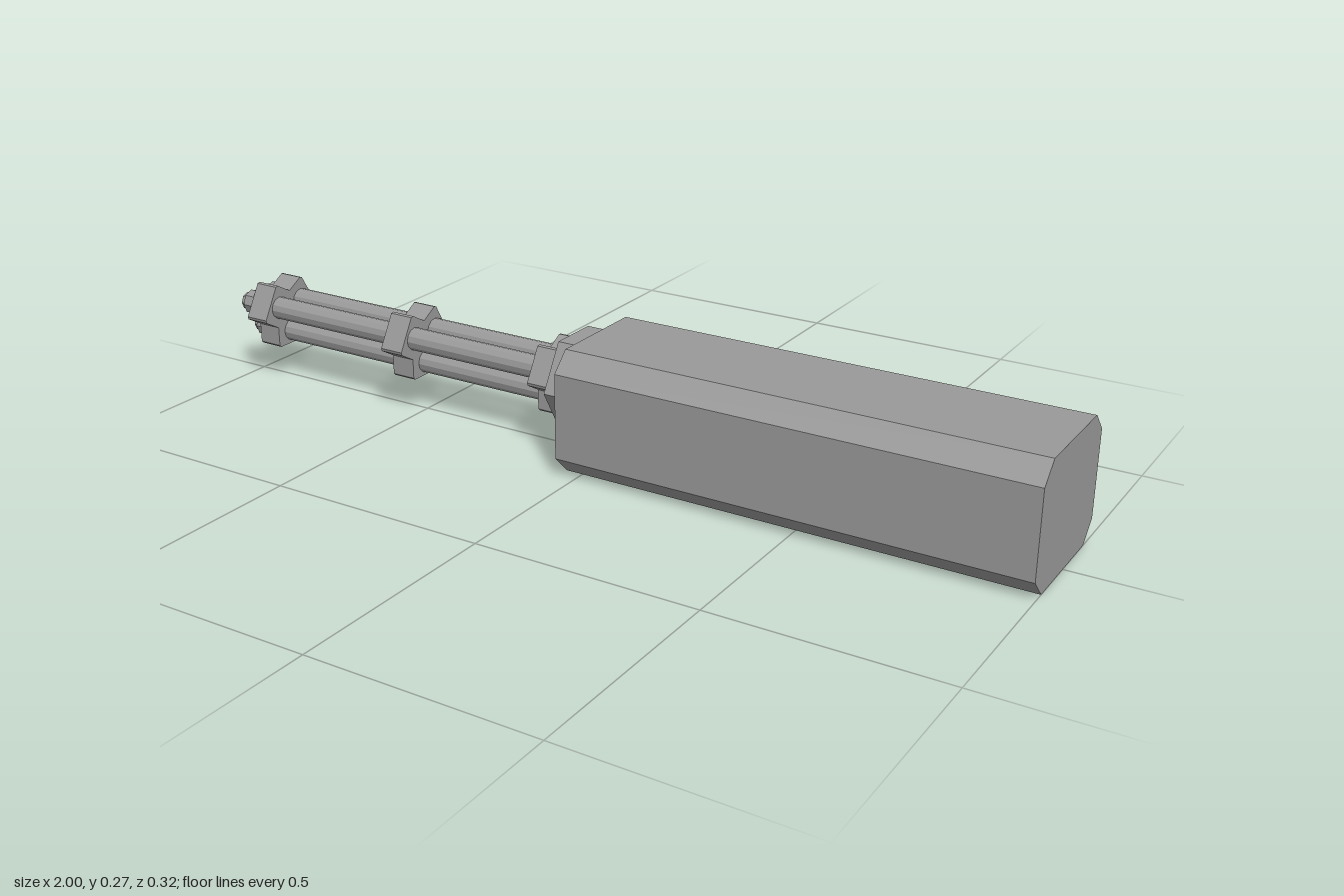
import * as THREE from 'three';

const AXIS_Y = 0.16;      // height of the barrel cluster axis
const CLUSTER_R = 0.043;  // distance of each barrel from that axis

export function createModel() {
  const group = new THREE.Group();
  const steel = new THREE.MeshStandardMaterial({ color: 0x999999, flatShading: true });
  steel.name = 'grey steel';

  const add = (geometry, name) => {
    const mesh = new THREE.Mesh(geometry, steel);
    mesh.name = name;
    group.add(mesh);
    return mesh;
  };

  // Prism along x from a [z, y] outline
  const prism = (points, x0, x1, name) => {
    const shape = new THREE.Shape(points.map(([z, y]) => new THREE.Vector2(-z, y)));
    const g = new THREE.ExtrudeGeometry(shape, { depth: x1 - x0, bevelEnabled: false });
    g.rotateY(Math.PI / 2).translate(x0, 0, 0);
    return add(g, name);
  };

  // Cylinder along x
  const rod = (r, x0, x1, y, z, sides, name) => {
    const g = new THREE.CylinderGeometry(r, r, x1 - x0, sides);
    g.rotateZ(Math.PI / 2).translate((x0 + x1) / 2, y, z);
    return add(g, name);
  };

  // Chamfered housing
  const w = 0.16, h = 0.273, c = 0.042;
  prism([[-w + c, 0], [w - c, 0], [w, c], [w, h - c], [w - c, h], [-w + c, h], [-w, h - c], [-w, c]],
    -0.04, 1, 'housing');

  // Hexagonal collar, flat side up
  const hex = [];
  for (let i = 0; i < 6; i++) {
    const a = i * Math.PI / 3;
    hex.push([0.115 * Math.cos(a), AXIS_Y + 0.115 * Math.sin(a)]);
  }
  prism(hex, -0.098, -0.04, 'collar');

  // Directions of the three barrels: two above, one below
  const angles = [30, 150, 270].map((d) => d * Math.PI / 180);

  // Three-lobed clamps, with a shallow notch between the lobes
  const lobe = 0.046, reach = 0.076, bevel = 0.005;
  const outline = [];
  for (const a of angles) {
    const profile = [[reach - bevel, -lobe], [reach, bevel - lobe],
      [reach, lobe - bevel], [reach - bevel, lobe]];
    for (const [r, t] of profile) {
      outline.push([r * Math.cos(a) - t * Math.sin(a), AXIS_Y + r * Math.sin(a) + t * Math.cos(a)]);
    }
    const n = a + Math.PI / 3, d = lobe / Math.sin(Math.PI / 3);
    outline.push([d * Math.cos(n), AXIS_Y + d * Math.sin(n)]);
  }
  for (const [x0, x1] of [[-0.16, -0.098], [-0.557, -0.5], [-0.957, -0.9]]) {
    prism(outline, x0, x1, 'barrelClamp');
  }

  // Barrels with stepped, hollow muzzles
  for (const a of angles) {
    const y = AXIS_Y + CLUSTER_R * Math.sin(a), z = CLUSTER_R * Math.cos(a);
    rod(0.026, -0.96, -0.09, y, z, 12, 'barrel');
    rod(0.029, -0.987, -0.955, y, z, 8, 'muzzleRing');
    const tip = new THREE.LatheGeometry([
      [0.001, 0], [0.012, 0], [0.012, 0.02], [0.021, 0.02], [0.021, -0.01],
    ].map(([r, t]) => new THREE.Vector2(r, t)).reverse(), 8);
    tip.rotateZ(Math.PI / 2).translate(-0.98, y, z);
    const mesh = add(tip, 'muzzleTip');
    mesh.material = muzzleSteel(steel);
  }
  return group;
}

// Two-sided copy of the steel for the thin muzzle shell
let shell;
function muzzleSteel(base) {
  if (!shell) {
    shell = base.clone();
    shell.side = THREE.DoubleSide;
  }
  return shell;
}
